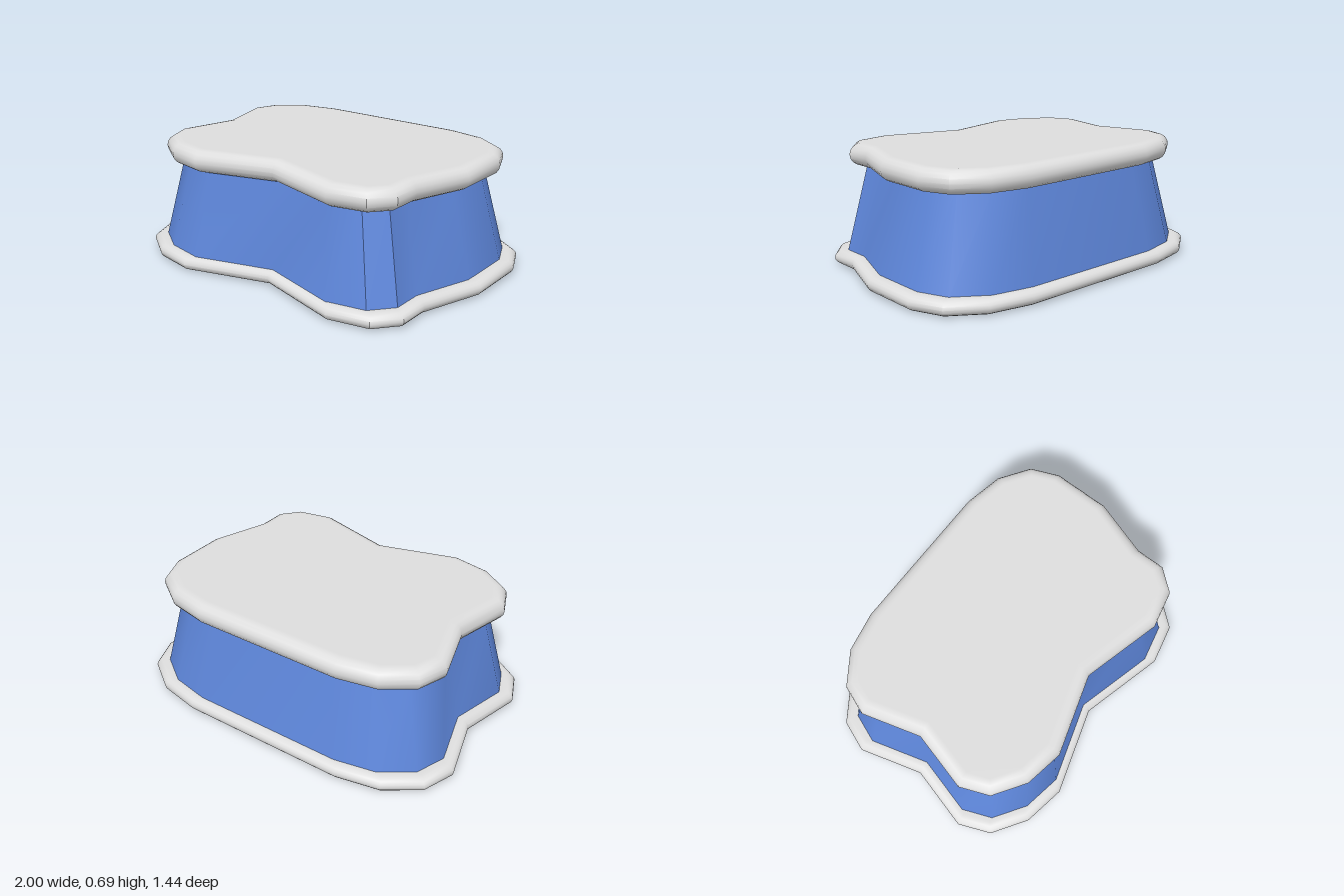
import * as THREE from 'three';
import { toCreasedNormals } from 'three/addons/utils/BufferGeometryUtils.js';

// Footprint seen from above, as [x, z], starting at the back edge
const OUTLINE = [
  [-0.49, -0.725], [0.49, -0.725], [0.74, -0.675], [0.93, -0.545], [1, -0.365],
  [0.99, 0], [0.86, 0.355], [0.855, 0.54], [0.74, 0.67], [0.5, 0.717],
  [0, 0.575], [-0.5, 0.717], [-0.74, 0.67], [-0.93, 0.54], [-1, 0.36],
  [-0.9, 0], [-1, -0.365], [-0.93, -0.545], [-0.74, -0.675],
];

// Footprint scaled, then moved inward by an even distance with mitred corners
function footprint(scale, inset = 0) {
  const pts = OUTLINE.map(([x, z]) => new THREE.Vector2(x * scale, z * scale));
  const n = pts.length;
  const normals = pts.map((p, i) => {
    const d = pts[(i + 1) % n].clone().sub(p).normalize();
    return new THREE.Vector2(-d.y, d.x);
  });
  return pts.map((p, i) => {
    const a = normals[(i + n - 1) % n], b = normals[i];
    return p.clone().addScaledVector(a.clone().add(b), inset / (1 + a.dot(b)));
  });
}

// Skin a stack of rings { y, pts } from bottom to top, optionally capped
function loft(rings, capped) {
  const n = OUTLINE.length, pos = [], index = [];
  for (const { y, pts } of rings) for (const p of pts) pos.push(p.x, y, p.y);
  for (let r = 0; r < rings.length - 1; r++) {
    for (let i = 0; i < n; i++) {
      const a = r * n + i, b = r * n + (i + 1) % n;
      index.push(a, a + n, b, b, a + n, b + n);
    }
  }
  const cap = (r, up) => {
    const pts = rings[r].pts;
    for (const [a, b, c] of THREE.ShapeUtils.triangulateShape(pts.slice(), [])) {
      const u = pts[b].clone().sub(pts[a]), v = pts[c].clone().sub(pts[a]);
      const facesUp = u.y * v.x - u.x * v.y > 0;
      const tri = facesUp === up ? [a, b, c] : [a, c, b];
      index.push(...tri.map((k) => k + r * n));
    }
  };
  if (capped) {
    cap(0, false);
    cap(rings.length - 1, true);
  }
  const geo = new THREE.BufferGeometry();
  geo.setAttribute('position', new THREE.Float32BufferAttribute(pos, 3));
  geo.setIndex(index);
  return toCreasedNormals(geo, THREE.MathUtils.degToRad(36));
}

// Slab with a rounded rim; the flat margin keeps the faces evenly shaded
function slab(scale, y0, y1, bevel) {
  const rings = [], steps = 8, mid = (y0 + y1) / 2, half = (y1 - y0) / 2;
  rings.push({ y: y0, pts: footprint(scale, bevel + 0.012) });
  for (let i = 0; i <= steps; i++) {
    const t = -Math.PI / 2 + (Math.PI * i) / steps;
    rings.push({ y: mid + half * Math.sin(t), pts: footprint(scale, bevel * (1 - Math.cos(t))) });
  }
  rings.push({ y: y1, pts: footprint(scale, bevel + 0.012) });
  return loft(rings, true);
}

export function createModel() {
  const grey = new THREE.MeshStandardMaterial({ color: 0xdedede });
  grey.name = 'light grey';
  const blue = new THREE.MeshStandardMaterial({ color: 0x5f88dd });
  blue.name = 'blue';

  const group = new THREE.Group();
  group.name = 'plinth';
  const add = (name, geometry, material) => {
    const mesh = new THREE.Mesh(geometry, material);
    mesh.name = name;
    group.add(mesh);
  };

  add('baseSlab', slab(1, 0, 0.083, 0.05), grey);
  // Tapered wall between the two slabs
  add('taperedWall', loft([
    { y: 0.07, pts: footprint(0.927) },
    { y: 0.6, pts: footprint(0.793) },
  ], false), blue);
  add('topSlab', slab(0.895, 0.57, 0.695, 0.062), grey);
  return group;
}
